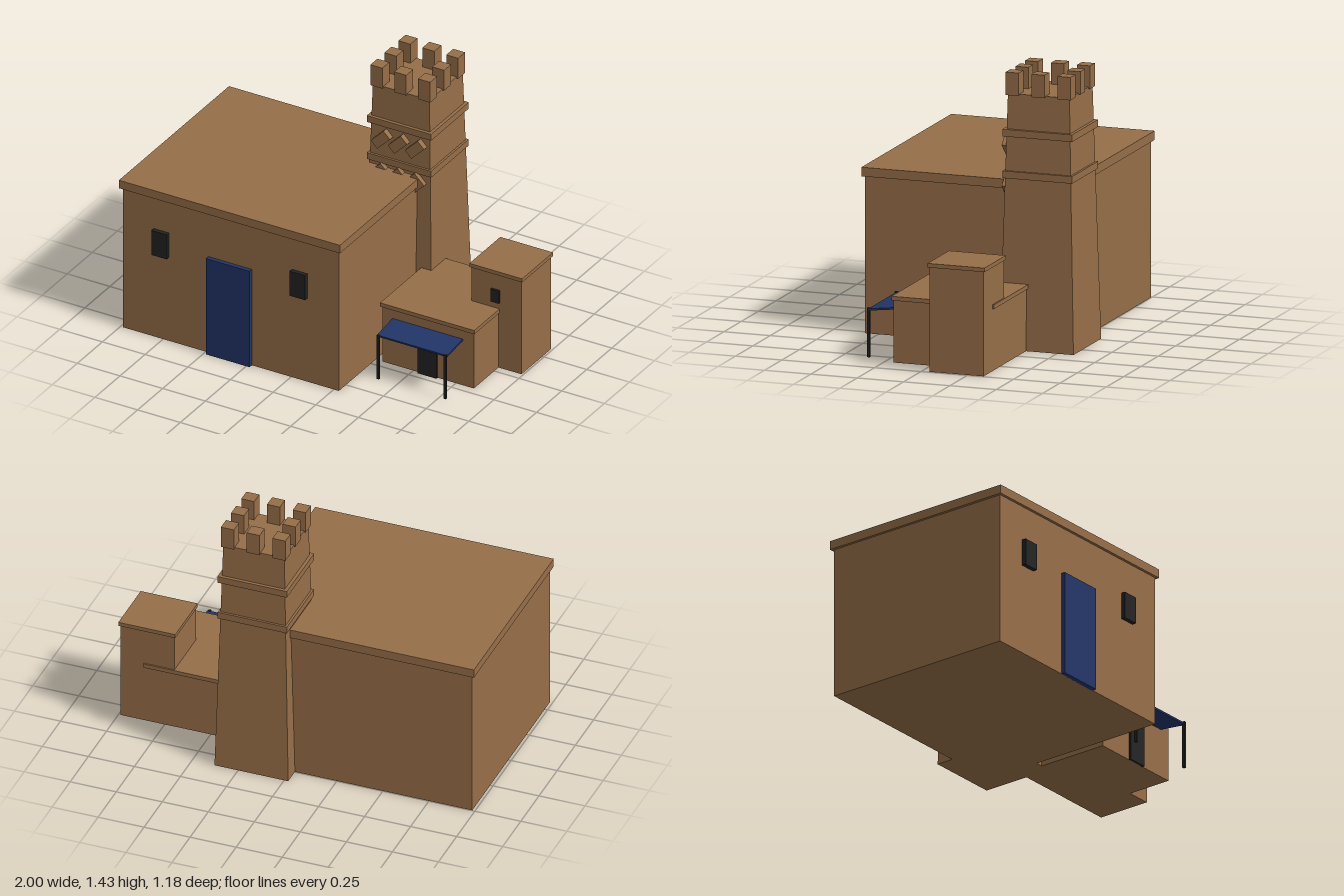
import * as THREE from 'three';

function material(name, color) {
  const m = new THREE.MeshStandardMaterial({ color });
  m.name = name;
  return m;
}

export function createModel() {
  const model = new THREE.Group();
  model.name = 'adobeHouse';
  const clay = material('clay', 0x966e48);
  const blue = material('blue', 0x223568);
  const dark = material('dark', 0x222222);

  // Box given by its extents along each axis
  function box(name, mat, [x0, x1], [y0, y1], [z0, z1], parent = model) {
    const mesh = new THREE.Mesh(new THREE.BoxGeometry(x1 - x0, y1 - y0, z1 - z0), mat);
    mesh.position.set((x0 + x1) / 2, (y0 + y1) / 2, (z0 + z1) / 2);
    mesh.name = name;
    parent.add(mesh);
    return mesh;
  }

  // Main hall
  box('hallWalls', clay, [-0.985, 0.28], [0, 0.815], [-0.497, 0.57]);
  box('hallRoof', clay, [-1, 0.295], [0.815, 0.862], [-0.512, 0.585]);
  box('hallDoor', blue, [-0.485, -0.23], [0, 0.56], [0.565, 0.593]);
  for (const x of [-0.76, 0.05]) {
    box('hallWindow', dark, [x - 0.045, x + 0.045], [0.487, 0.63], [0.565, 0.593]);
  }

  // Tower, centred on its own axis
  const tower = new THREE.Group();
  tower.name = 'tower';
  tower.position.set(0.178, 0, -0.39);
  model.add(tower);

  const shaftGeometry = new THREE.CylinderGeometry(0.166 * Math.SQRT2, 0.2 * Math.SQRT2, 1.32, 4)
    .rotateY(Math.PI / 4).toNonIndexed();
  shaftGeometry.computeVertexNormals();
  const shaft = new THREE.Mesh(shaftGeometry, clay);
  shaft.name = 'towerShaft';
  shaft.position.y = 0.66;
  tower.add(shaft);

  for (const y of [0.884, 1.1]) {
    box('towerBand', clay, [-0.188, 0.188], [y, y + 0.037], [-0.188, 0.188], tower);
  }

  // Battlements around the tower edge
  for (const i of [-1, 0, 1]) {
    for (const j of [-1, 0, 1]) {
      if (i === 0 && j === 0) continue;
      const x = i * 0.14, z = j * 0.14;
      box('merlon', clay, [x - 0.035, x + 0.035], [1.312, 1.431], [z - 0.035, z + 0.035], tower);
    }
  }

  // Slanted bricks above, square diamonds below
  for (const i of [-1, 0, 1]) {
    for (const [name, y, w, h] of [['slantedBrick', 1.028, 0.106, 0.054], ['diamondBrick', 0.834, 0.08, 0.08]]) {
      const x = i * 0.1;
      const brick = box(name, clay, [x - w / 2, x + w / 2], [y - h / 2, y + h / 2], [0.172, 0.204], tower);
      brick.rotation.z = Math.PI / 4;
    }
  }

  // Low annex
  box('annexWalls', clay, [0.32, 0.855], [0, 0.322], [-0.334, 0.203]);
  box('annexRoof', clay, [0.31, 0.862], [0.322, 0.344], [-0.343, 0.211]);
  box('annexDoor', dark, [0.533, 0.643], [0, 0.246], [0.195, 0.215]);

  // Raised corner room
  box('cornerRoomWalls', clay, [0.696, 0.99], [0, 0.542], [-0.335, -0.042]);
  box('cornerRoomRoof', clay, [0.689, 0.998], [0.542, 0.563], [-0.343, -0.035]);
  box('cornerRoomWindow', dark, [0.815, 0.865], [0.38, 0.453], [-0.05, -0.03]);

  // Awning sloping down to two posts
  const awning = box('awning', blue, [0.38, 0.792], [0.252, 0.262], [0.205, 0.362]);
  awning.rotation.x = 0.12;
  for (const x of [0.389, 0.781]) {
    box('awningPost', dark, [x - 0.007, x + 0.007], [0, 0.256], [0.356, 0.369]);
  }

  return model;
}
